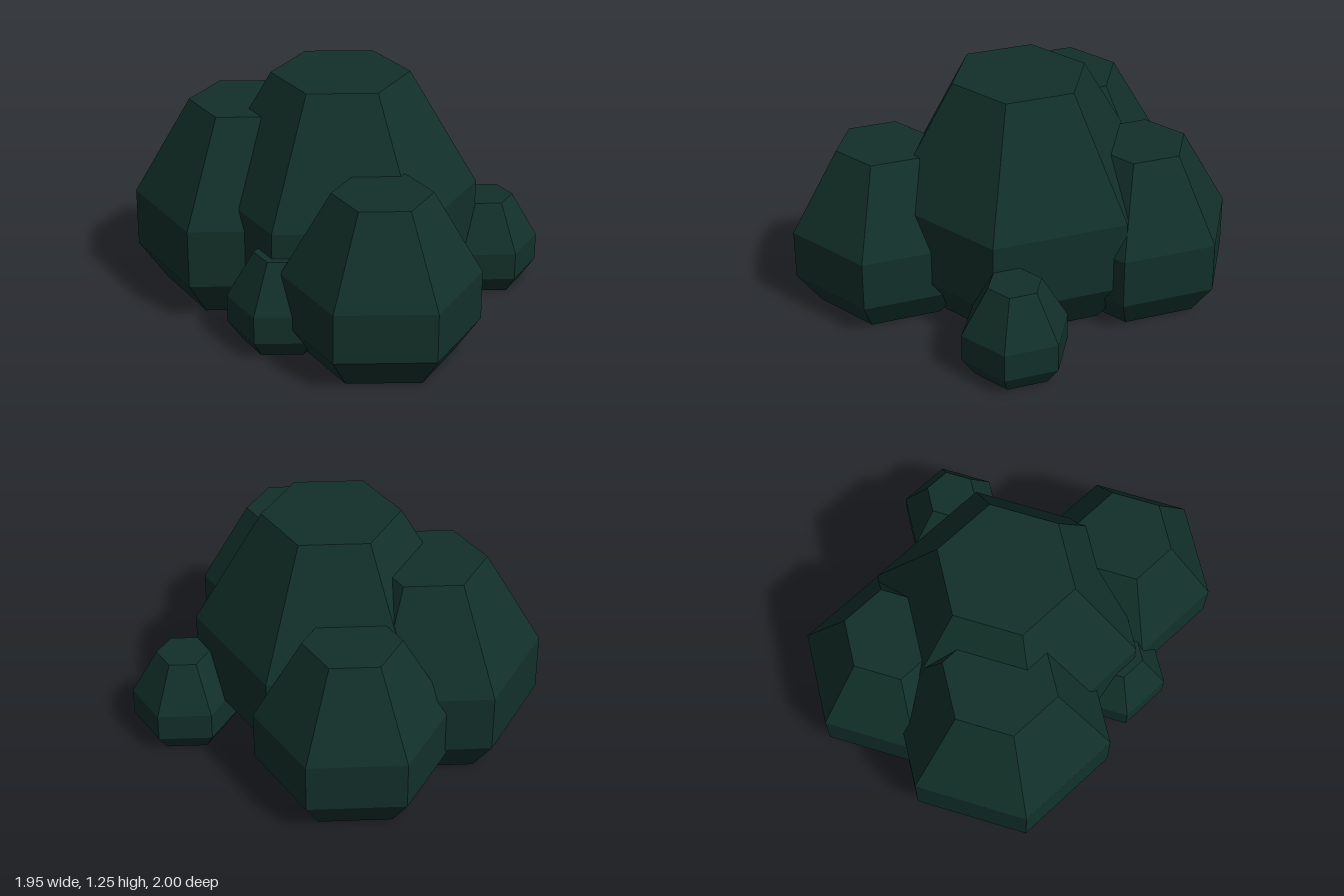
import * as THREE from 'three';

// Bush made of overlapping six-sided clumps that share one profile
export function createModel() {
  const group = new THREE.Group();
  group.name = 'bush';
  const material = new THREE.MeshStandardMaterial({ color: 0x12302a, flatShading: true });

  // Unit clump profile, from the ground up: [radius, height]
  const profile = [[0, 0], [0.75, 0], [1, 0.2], [1, 0.5], [0.5, 1], [0, 1]]
    .map(([r, y]) => new THREE.Vector2(r, y));

  // name, x, z, radius, height
  const clumps = [
    ['mainClump', 0.04, 0, 0.715, 1.245],
    ['rightClump', -0.455, 0.12, 0.6, 1.045],
    ['frontLeftClump', 0.54, 0.495, 0.502, 0.875],
    ['backRightClump', -0.333, -0.5, 0.5, 0.875],
    ['smallBackClump', 0.66, -0.5, 0.28, 0.49],
    ['smallFrontClump', 0.04, 0.62, 0.28, 0.49],
  ];
  for (const [name, x, z, radius, height] of clumps) {
    const points = profile.map((p) => new THREE.Vector2(p.x * radius, p.y * height));
    const clump = new THREE.Mesh(new THREE.LatheGeometry(points, 6), material);
    clump.name = name;
    clump.position.set(x, 0, z);
    group.add(clump);
  }
  return group;
}
